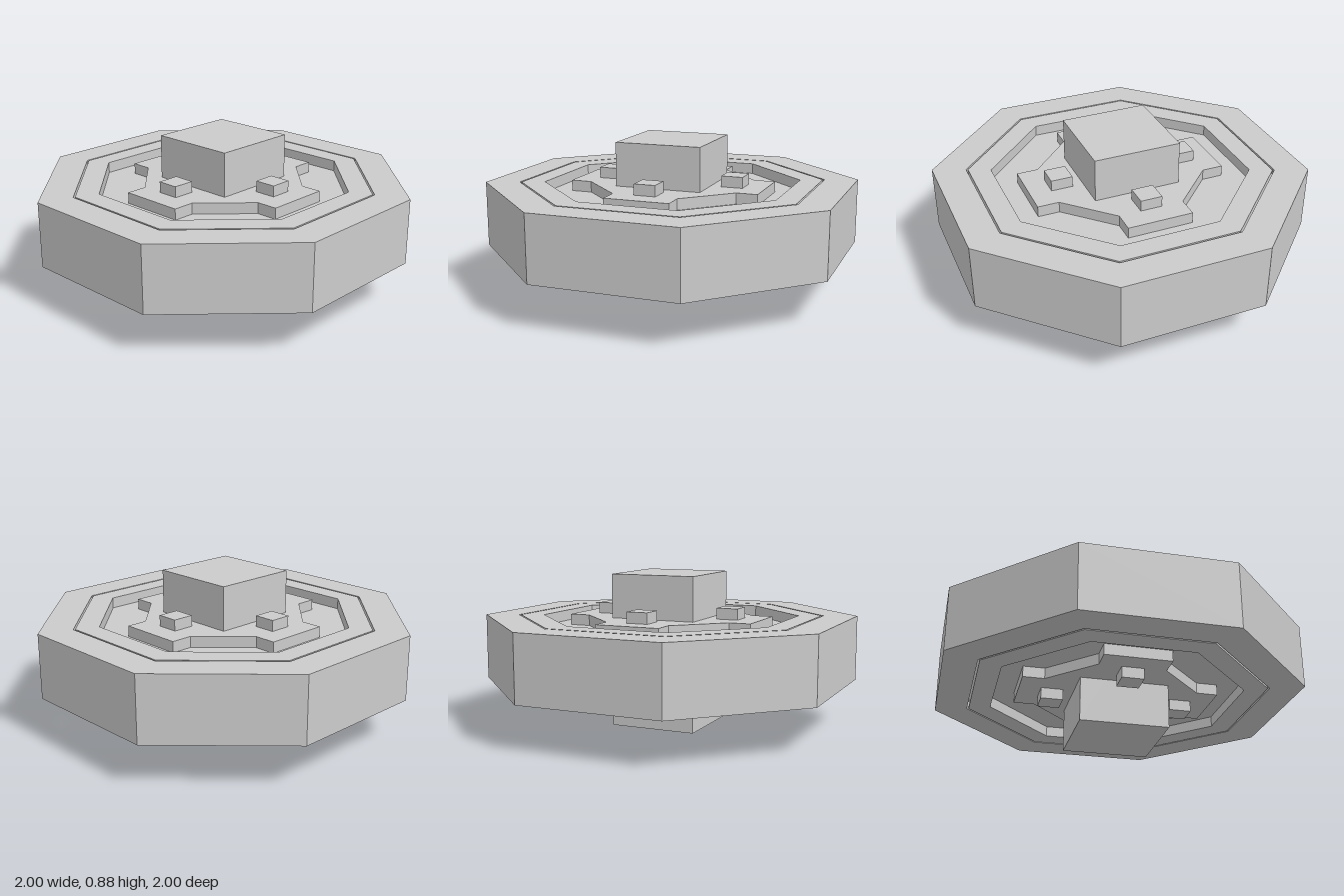
import * as THREE from 'three';

const MID = 0.4375; // height of the mirror plane
const material = new THREE.MeshStandardMaterial({ color: 0xcccccc, flatShading: true });

// Eight corners of an octagon: flat sides at distance r, corners offset by c
const octagon = (r, c) => [[r, -c], [r, c], [c, r], [-c, r], [-r, c], [-r, -c], [-c, -r], [c, -r]]
  .map(([x, y]) => new THREE.Vector2(x, y));

// Horizontal slab of an outline, with an optional hole, between two heights
function slab(name, outline, y0, y1, hole) {
  const shape = new THREE.Shape(outline);
  if (hole) shape.holes.push(new THREE.Path(hole));
  const geometry = new THREE.ExtrudeGeometry(shape, { depth: y1 - y0, bevelEnabled: false });
  geometry.rotateX(-Math.PI / 2).translate(0, y0, 0);
  const mesh = new THREE.Mesh(geometry, material);
  mesh.name = name;
  return mesh;
}

function block(name, w, h, d, x, y, z) {
  const mesh = new THREE.Mesh(new THREE.BoxGeometry(w, h, d), material);
  mesh.name = name;
  mesh.position.set(x, y, z);
  return mesh;
}

// Cross with four square arms joined by diagonal edges
function crossOutline() {
  const quarter = [[0.56, -0.1875], [0.56, 0.1875], [0.4375, 0.1875], [0.1875, 0.4375]];
  const points = [];
  for (let i = 0; i < 4; i++) {
    // the last corner of each quarter turn begins the next arm
    for (const [x, y] of [[0.4375, -0.1875], ...quarter.slice(0, 3)]) {
      points.push(new THREE.Vector2(x, y).rotateAround(new THREE.Vector2(), i * Math.PI / 2));
    }
  }
  return points;
}

export function createModel() {
  const model = new THREE.Group();
  model.name = 'octagonalDisc';

  // Outer rim and inner ring, parted by a thin open slit
  model.add(slab('outerRim', octagon(1, 0.414), 0.25, 0.625, octagon(0.8175, 0.344)));
  model.add(slab('innerRing', octagon(0.8075, 0.34), 0.25, 0.625, octagon(0.686, 0.284)));

  // Recessed floor on both faces, with the raised cross through it
  model.add(slab('recessedFloor', octagon(0.686, 0.284), 0.3125, 0.5625));
  model.add(slab('crossPlate', crossOutline(), 0.25, 0.625));

  // Central square hub through the whole disc
  model.add(block('centralHub', 0.5, 0.875, 0.5, 0, MID, 0));

  // Four small studs around the hub, on both faces
  for (let i = 0; i < 4; i++) {
    const a = i * Math.PI / 2;
    const x = 0.375 * Math.cos(a), z = 0.375 * Math.sin(a);
    for (const side of [1, -1]) {
      model.add(block(side > 0 ? 'upperStud' : 'lowerStud', 0.125, 0.0625, 0.125, x, MID + side * 0.21875, z));
    }
  }
  return model;
}
